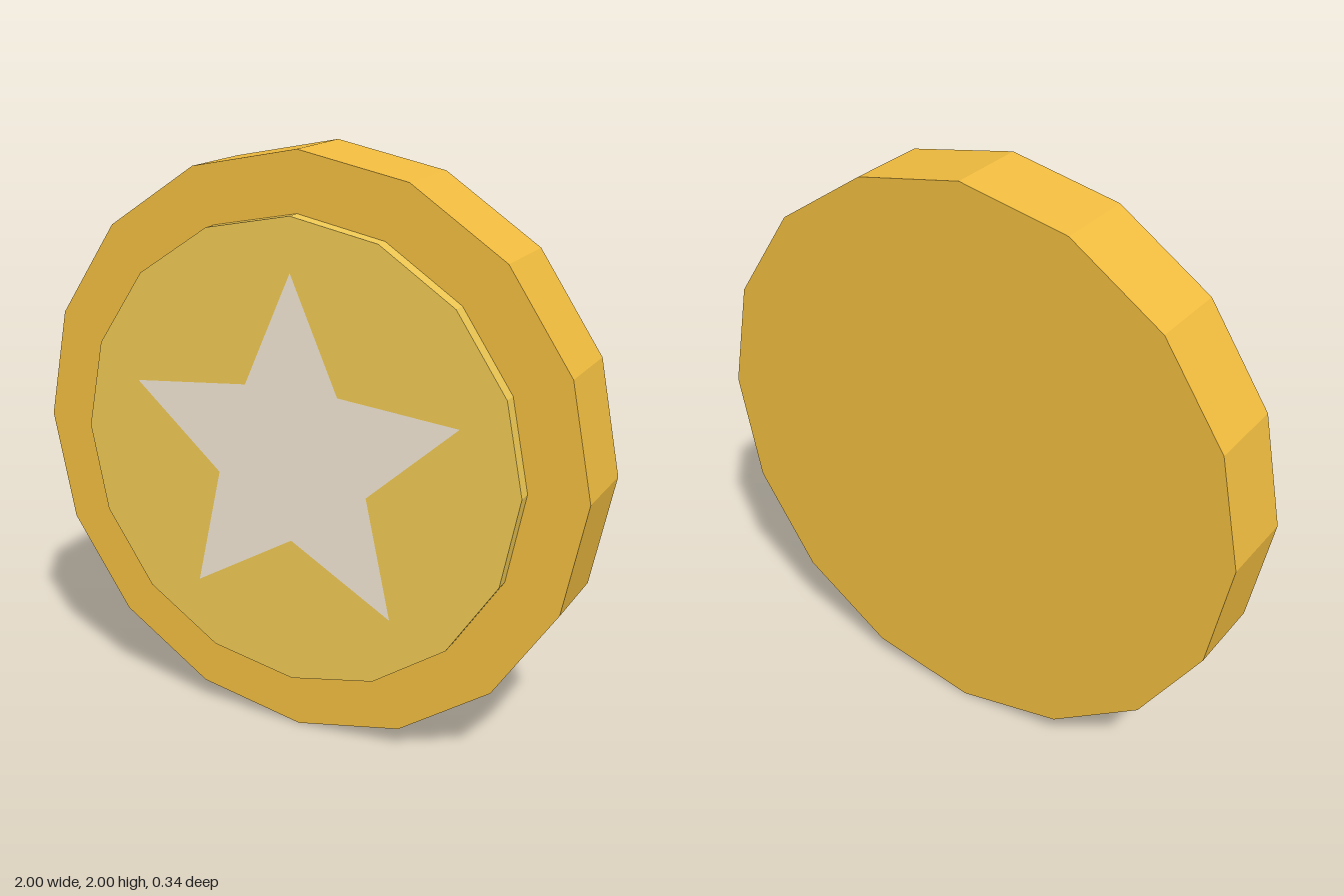
import * as THREE from 'three';

const BACK = -0.18, RIM_FRONT = 0.105, FACE_FRONT = 0.155;
const CENTRE_Y = 1;

// Closed outline with points spaced evenly by angle, first point at the top;
// the radii repeat in turn, so two radii give a star.
function outline(count, ...radii) {
  return Array.from({ length: count }, (_, i) => {
    const a = Math.PI / 2 + (i / count) * Math.PI * 2;
    const r = radii[i % radii.length];
    return new THREE.Vector2(Math.cos(a) * r, Math.sin(a) * r);
  });
}

// Flat-sided slab between two depths
function slab(name, points, hole, z0, z1, color) {
  const shape = new THREE.Shape(points);
  if (hole) shape.holes.push(new THREE.Path(hole));
  const geometry = new THREE.ExtrudeGeometry(shape, { depth: z1 - z0, bevelEnabled: false });
  const mesh = new THREE.Mesh(geometry, new THREE.MeshStandardMaterial({ color, flatShading: true }));
  mesh.name = name;
  mesh.position.set(0, CENTRE_Y, z0);
  return mesh;
}

export function createModel() {
  const coin = new THREE.Group();
  coin.name = 'coin';
  const star = outline(10, 0.62, 0.288);

  // Thick sixteen-sided body
  coin.add(slab('coinBody', outline(16, 1), null, BACK, RIM_FRONT, 0xf0bc3f));
  // Raised front disc with a star cut out
  coin.add(slab('raisedDisc', outline(16, 0.8), star, RIM_FRONT, FACE_FRONT, 0xeec853));
  // Star inlay, flush with the disc
  coin.add(slab('starInlay', star, null, RIM_FRONT, FACE_FRONT, 0xf0e5d4));

  return coin;
}
